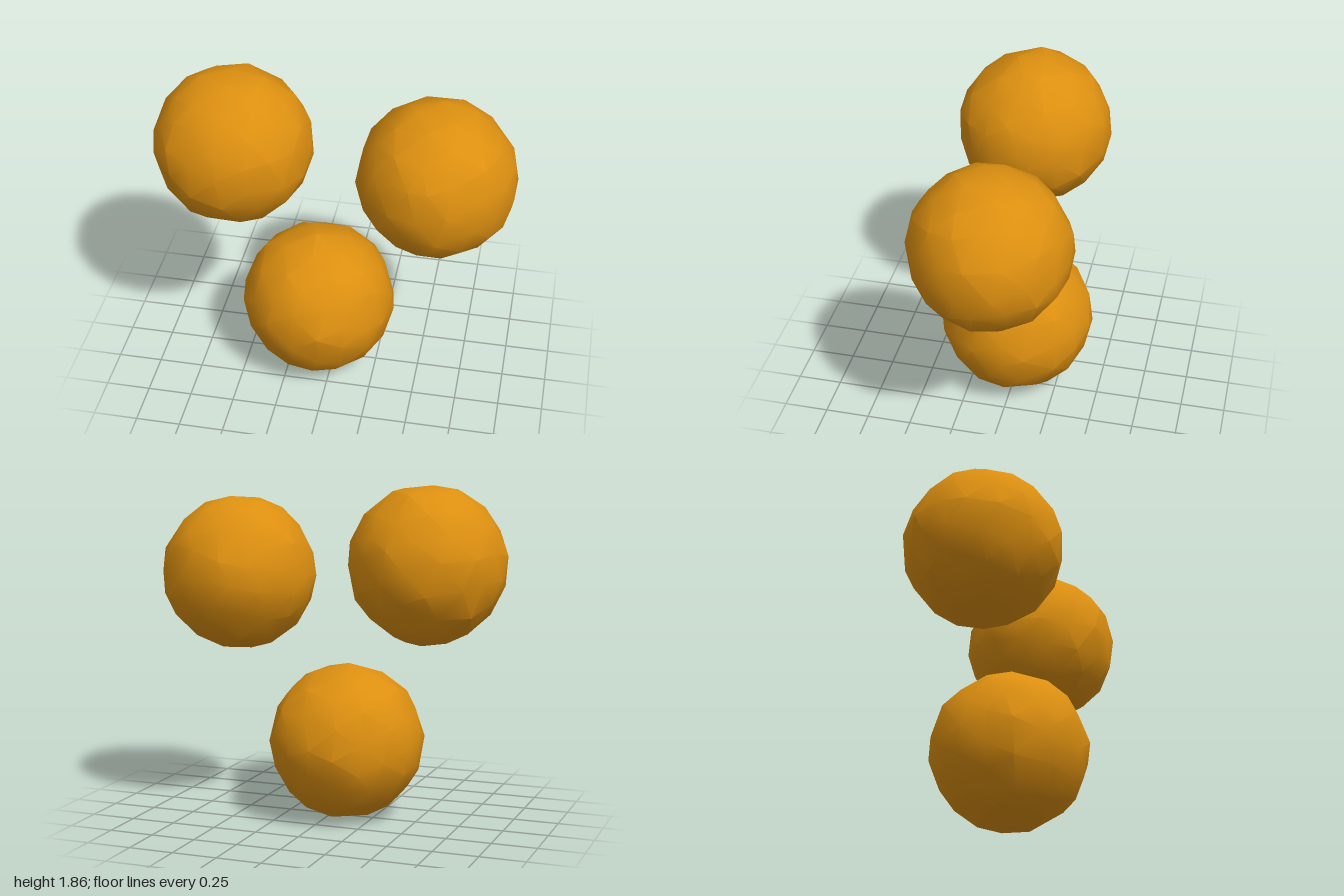
import * as THREE from 'three';
import { mergeVertices, toCreasedNormals } from 'three/addons/utils/BufferGeometryUtils.js';

// Small seeded generator in 0..1
function seeded(seed) {
  let s = seed;
  return () => {
    s = (s * 16807) % 2147483647;
    return s / 2147483647;
  };
}

// Faceted ball with slightly uneven vertices, smooth apart from a few sharp creases
function roughBall(radius, seed) {
  const rand = seeded(seed);
  let geo = new THREE.IcosahedronGeometry(1, 2);
  geo.deleteAttribute('normal');
  geo.deleteAttribute('uv');
  geo = mergeVertices(geo, 1e-3);
  const pos = geo.attributes.position;
  const v = new THREE.Vector3();
  const shift = new THREE.Vector3();
  for (let i = 0; i < pos.count; i++) {
    shift.set(rand() - 0.5, rand() - 0.5, rand() - 0.5).multiplyScalar(0.12);
    v.fromBufferAttribute(pos, i).add(shift);
    v.setLength(radius * (1 - 0.025 * rand()));
    pos.setXYZ(i, v.x, v.y, v.z);
  }
  return toCreasedNormals(geo, THREE.MathUtils.degToRad(27));
}

export function createModel() {
  const group = new THREE.Group();
  group.name = 'threeBalls';
  const material = new THREE.MeshStandardMaterial({ color: 0xdc8f10 });
  const geometry = roughBall(0.442, 7919);

  // The same ball three times, each turned differently
  const balls = [
    ['upperRightBall', [-0.557, 1.444, 0], [0.3, 0.5, 0.2]],
    ['upperLeftBall', [0.558, 1.363, 0], [1.2, 2.4, 0.6]],
    ['lowerBall', [-0.09, 0.442, 0], [2.1, 0.9, 1.7]],
  ];
  for (const [name, position, rotation] of balls) {
    const ball = new THREE.Mesh(geometry, material);
    ball.name = name;
    ball.position.set(...position);
    ball.rotation.set(...rotation);
    group.add(ball);
  }
  return group;
}
